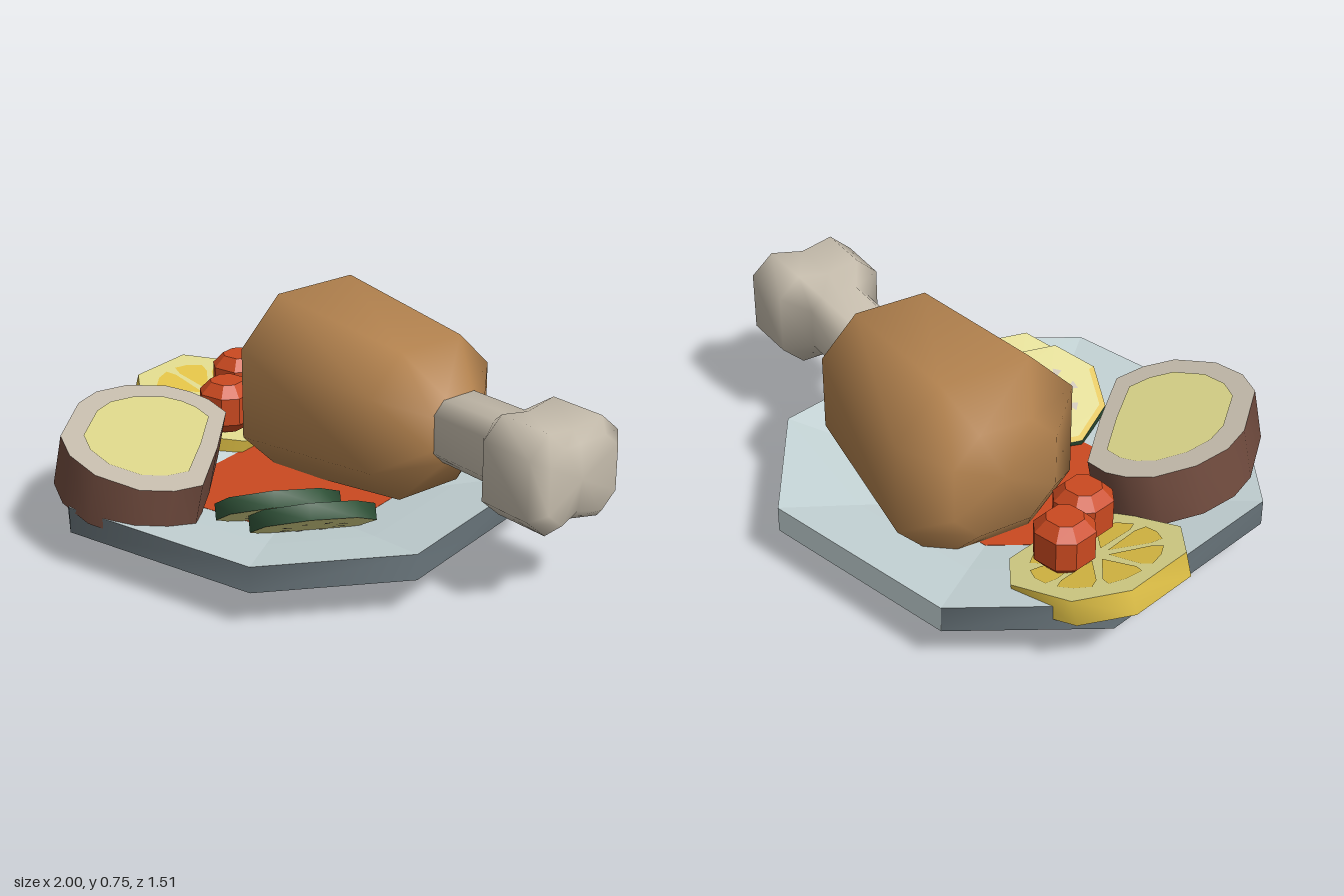
import * as THREE from 'three';
import { toCreasedNormals } from 'three/addons/utils/BufferGeometryUtils.js';

const mat = (name, color) => {
  const m = new THREE.MeshStandardMaterial({ color });
  m.name = name;
  return m;
};

// Octagon with half width a (chamfered square), counter-clockwise
const octagon = (a) => [[1, -.5], [1, .5], [.5, 1], [-.5, 1], [-1, .5], [-1, -.5], [-.5, -1], [.5, -1]]
  .map(([x, y]) => [x * a, y * a]);

// Skin over equal-length rings of [x, y, z] that advance along +z, with optional end caps
function loft(rings, { flat = false, capStart = true, capEnd = true } = {}) {
  const n = rings[0].length, pos = rings.flat(2), idx = [];
  for (let i = 0; i < rings.length - 1; i++) {
    for (let j = 0; j < n; j++) {
      const k = (j + 1) % n, a = i * n + j, b = i * n + k;
      idx.push(a, b, b + n, a, b + n, a + n);
    }
  }
  const cap = (ring, base, start) => {
    const c = pos.length / 3;
    for (let d = 0; d < 3; d++) pos.push(ring.reduce((s, p) => s + p[d], 0) / n);
    for (let j = 0; j < n; j++) {
      const a = base + j, b = base + (j + 1) % n;
      if (start) idx.push(c, b, a); else idx.push(c, a, b);
    }
  };
  if (capStart) cap(rings[0], 0, true);
  if (capEnd) cap(rings[rings.length - 1], (rings.length - 1) * n, false);
  let g = new THREE.BufferGeometry();
  g.setAttribute('position', new THREE.Float32BufferAttribute(pos, 3));
  g.setIndex(idx);
  if (flat) g = g.toNonIndexed();
  g.computeVertexNormals();
  return g;
}

const octLoft = (profile, opts) => loft(profile.map(([z, a, y = 0]) =>
  octagon(a).map(([px, py]) => [px, py + y, z])), opts);

const outlineShape = (outline) => new THREE.Shape(outline.map(([x, z]) => new THREE.Vector2(x, -z)));

// Slab from an (x, z) outline, its top at y = 0, rounded shading around the side
function slab(name, outline, thickness, faceMat, sideMat) {
  const g = new THREE.ExtrudeGeometry(outlineShape(outline), { depth: thickness, bevelEnabled: false });
  g.translate(0, 0, -thickness).rotateX(-Math.PI / 2);
  const m = new THREE.Mesh(toCreasedNormals(g, 1), [faceMat, sideMat]);
  m.name = name;
  return m;
}

// Painted detail facing up at height y
function decal(name, outline, material, y = .003) {
  const m = new THREE.Mesh(new THREE.ShapeGeometry(outlineShape(outline)).rotateX(-Math.PI / 2), material);
  m.name = name;
  m.position.y = y;
  return m;
}

function tilted(name, position, normal) {
  const g = new THREE.Group();
  g.name = name;
  g.position.set(...position);
  g.quaternion.setFromUnitVectors(new THREE.Vector3(0, 1, 0), new THREE.Vector3(...normal).normalize());
  return g;
}

export function createModel() {
  const root = new THREE.Group();
  root.name = 'roastDinner';
  const glaze = mat('plateGlaze', 0xc5d4d6), rim = mat('plateRim', 0x68747a);
  const roast = mat('roastMeat', 0xb4834f), bone = mat('bone', 0xc6bdad);
  const crust = mat('brownCrust', 0x704b3e), pale = mat('paleFlesh', 0xdcd68a);
  const gold = mat('lemonGold', 0xdfc046), green = mat('cucumberPeel', 0x31553a);
  const red = mat('tomatoRed', 0xca4920);

  const add = (name, geometry, material, parent = root) => {
    const m = new THREE.Mesh(geometry, material);
    m.name = name;
    parent.add(m);
    return m;
  };

  // Plate: pale body, dark rim band, red sauce on the floor of the dish
  const plate = new THREE.Group();
  plate.name = 'plate';
  plate.position.set(-.165, 0, -.015);
  root.add(plate);
  const up = -Math.PI / 2;
  add('plateUnderside', octLoft([[0, .355], [.07, .505], [.13, .745]], { capEnd: false }).rotateX(up), glaze, plate);
  add('plateRim', octLoft([[.13, .745], [.22, .745]], { capStart: false, capEnd: false }).rotateX(up), rim, plate);
  add('plateDish', octLoft([[.22, .745], [.165, .5], [.125, .335]],
    { flat: true, capStart: false, capEnd: false }).rotateX(up), glaze, plate);
  add('sauce', octLoft([[.12, .335], [.126, .335]], { flat: true }).rotateX(up), red, plate);
  add('backRim', new THREE.BoxGeometry(.745, .09, .004), glaze, plate).position.set(0, .175, -.744);

  // Drumstick: local +z runs along the bone
  const drumstick = new THREE.Group();
  drumstick.name = 'drumstick';
  drumstick.position.set(.29, 0, -.155);
  drumstick.rotation.y = THREE.MathUtils.degToRad(75.5);
  root.add(drumstick);
  add('meat', octLoft([[-.72, .19, .42], [-.6, .328, .425], [0, .264, .438], [.14, .115, .45]]), roast, drumstick);

  // Bone: shaft swelling into a two-lobed knuckle
  const boneRing = ([z, w, h, waist, notch]) => [[1, -.6], [1, .6], [.6, 1], [0, waist], [-.6, 1],
    [-1, .6], [-1, -.6], [-.6, -1], [0, -waist], [.6, -1]]
    .map(([x, y]) => [x * w, y * h + .45, x === 0 ? z - notch : z]);
  const boneRings = [[.08, .11, .11, 1, 0], [.37, .112, .114, 1, 0], [.45, .192, .172, .88, 0],
    [.655, .197, .172, .88, .01], [.7, .15, .13, .88, .02]].map(boneRing);
  add('bone', loft(boneRings), bone, drumstick);

  // Oval crusted slice
  const crusted = tilted('crustedSlice', [-.49, .363, .36], [.19, 1, -.06]);
  const oval = [[-.71, .03], [-.63, -.01], [-.55, -.02], [-.45, .005], [-.3, .24], [-.16, .49], [-.19, .6],
    [-.26, .69], [-.41, .735], [-.55, .705], [-.66, .63], [-.79, .4], [-.815, .28], [-.79, .15]]
    .map(([x, z]) => [x + .49, z - .36]);
  crusted.add(slab('crust', oval, .18, bone, crust));
  crusted.add(decal('sliceCore', oval.map(([x, z]) => [x * .74, z * .76]), pale));
  root.add(crusted);

  // Lemon slice with eight segments
  const lemon = tilted('lemonSlice', [-.725, .243, -.26], [.29, 1, 0]);
  lemon.add(slab('lemonRind', octagon(.26), .084, pale, gold));
  for (let i = 0; i < 8; i++) {
    const wedge = decal('lemonSegment', [[.04, 0], [.165, -.058], [.205, -.058], [.215, 0], [.205, .058], [.165, .058]], gold);
    wedge.rotation.y = (i + .5) * Math.PI / 4;
    lemon.add(wedge);
  }
  root.add(lemon);

  // Two overlapping cucumber slices, seeds on both faces, gold along the low edge
  const round = Array.from({ length: 8 }, (_, i) => {
    const a = THREE.MathUtils.degToRad(10 + 45 * i);
    return [Math.cos(a) * .207, Math.sin(a) * .207];
  });
  const lowEdge = round.slice(2, 6);
  const lowBand = [...lowEdge, ...lowEdge.map(([x, z]) => [x * .9, z * .9]).reverse()];
  for (const [x, y] of [[0, .243], [.14, .237]]) {
    const slice = tilted('cucumberSlice', [x, y, .312], [-.44, 1, -.42]);
    slice.add(slab('cucumberPeel', round, .055, pale, green));
    slice.add(decal('cucumberLowEdge', lowBand, gold));
    for (let i = 0; i < 8; i++) {
      for (const [level, flip] of [[.003, 0], [-.058, Math.PI]]) {
        const seed = decal('cucumberSeed', [[.072, 0], [.11, -.02], [.115, .012]], bone, level);
        seed.rotation.set(flip, (i + .5) * Math.PI / 4, 0);
        slice.add(seed);
      }
    }
    root.add(slice);
  }

  // Cherry tomatoes
  for (const [x, y, z] of [[-.66, .315, -.34], [-.572, .29, -.152]]) {
    const ball = octLoft([[-.09, .055], [-.05, .09], [.05, .09], [.09, .055]], { flat: true }).rotateX(up);
    add('cherryTomato', ball, red).position.set(x, y, z);
  }
  return root;
}
